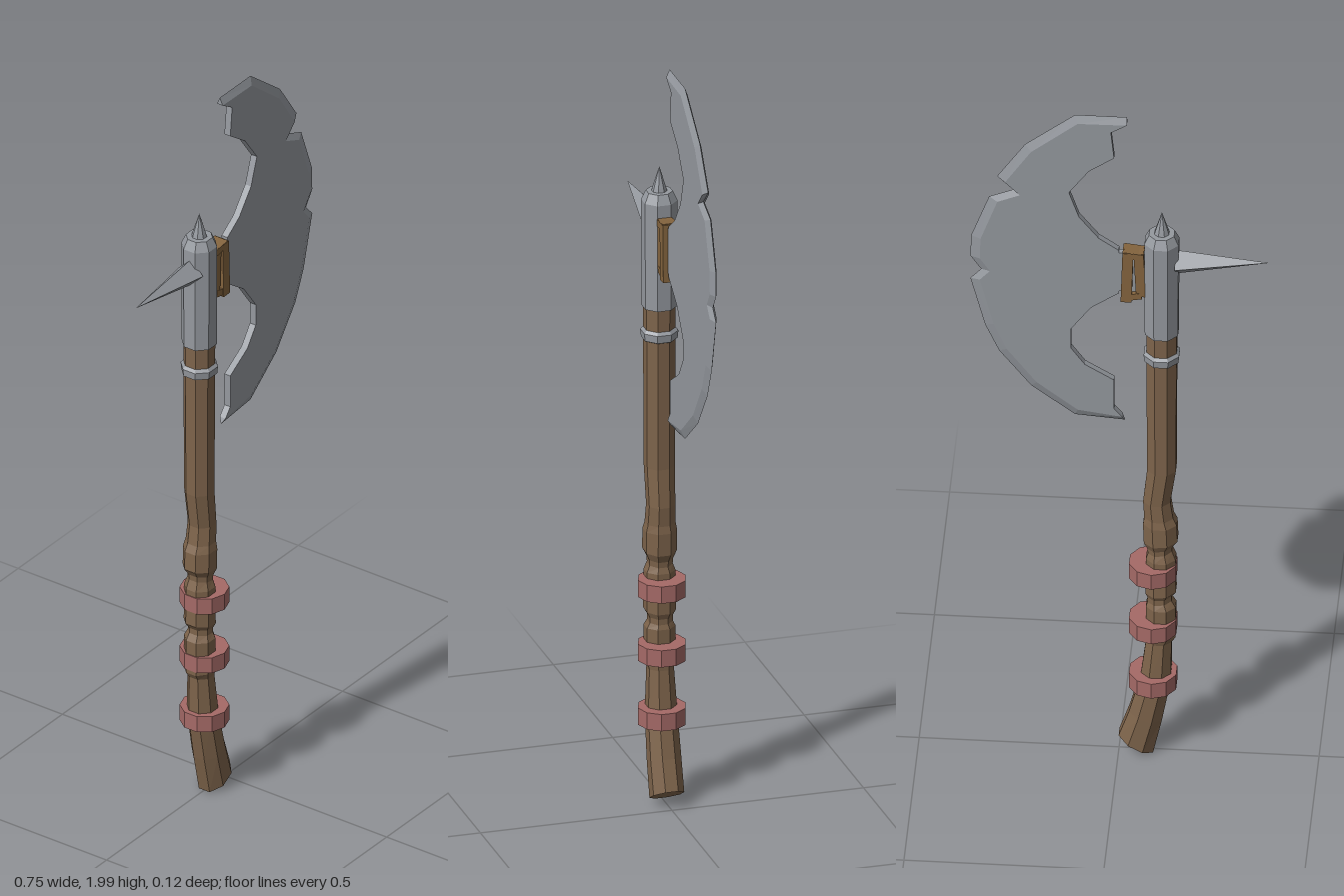
import * as THREE from 'three';

const mat = (name, color) => new THREE.MeshStandardMaterial({ name, color, flatShading: true });

export function createModel() {
  const axe = new THREE.Group();
  axe.name = 'battleAxe';
  const steel = mat('steel', 0x95999f);
  const wood = mat('wood', 0x7e644b);
  const leather = mat('leather', 0x85653f);
  const red = mat('redBand', 0xa56a67);

  const add = (name, geometry, material, x = 0, y = 0, z = 0) => {
    const mesh = new THREE.Mesh(geometry, material);
    mesh.name = name;
    mesh.position.set(x, y, z);
    axe.add(mesh);
    return mesh;
  };
  const facets = (positions, index) => {
    let g = new THREE.BufferGeometry();
    g.setAttribute('position', new THREE.Float32BufferAttribute(positions, 3));
    if (index) g = (g.setIndex(index), g.toNonIndexed());
    g.computeVertexNormals();
    return g;
  };

  // Crooked eight-sided handle: centre x, centre y, radius, slope of the ring
  const rings = [
    [-0.043, 0.035, 0.043, 0.57], [-0.067, 0.125, 0.041, 0.3], [-0.092, 0.24, 0.038, 0.1],
    [-0.1, 0.36, 0.032, 0], [-0.105, 0.38, 0.037, 0.1], [-0.105, 0.47, 0.037, 0],
    [-0.102, 0.485, 0.03, -0.1], [-0.102, 0.5, 0.03, -0.1], [-0.105, 0.515, 0.038, -0.1],
    [-0.105, 0.62, 0.037, 0], [-0.103, 0.64, 0.03, -0.15], [-0.103, 0.655, 0.031, -0.15],
    [-0.105, 0.675, 0.042, -0.1], [-0.103, 0.73, 0.042, 0], [-0.1, 0.75, 0.036, 0],
    [-0.095, 0.8, 0.034, 0], [-0.107, 0.9, 0.036, 0], [-0.107, 1.35, 0.038, 0],
  ];
  const N = 8, pos = [], idx = [];
  rings.forEach(([cx, cy, r, slope], k) => {
    for (let i = 0; i < N; i++) {
      const a = ((i + 0.5) / N) * Math.PI * 2;
      const dx = (r * Math.cos(a)) / Math.cos(Math.PI / N);
      pos.push(cx + dx, cy + dx * slope, Math.min(r, 0.04) * Math.sin(a) / Math.cos(Math.PI / N));
      if (k < rings.length - 1) {
        const b = k * N + i, n = k * N + ((i + 1) % N);
        idx.push(b, b + N, n, n, b + N, n + N);
      }
    }
  });
  // Splintered hollow at the butt
  pos.push(-0.05, 0.055, 0);
  for (let i = 0; i < N; i++) idx.push(rings.length * N, i, (i + 1) % N);
  add('handle', facets(pos, idx), wood);

  // Red grip bands
  for (const y of [0.582, 0.41, 0.238]) {
    add('gripBand', new THREE.CylinderGeometry(0.062, 0.062, 0.045, 10), red, -0.085, y);
  }

  // Faceted steel solids of revolution around the handle
  const lathe = (profile) => new THREE.LatheGeometry(
    profile.map(([r, y]) => new THREE.Vector2(r, y)), 8, Math.PI / 8);
  add('socket', lathe([[0, 1.33], [0.045, 1.33], [0.046, 1.615], [0.034, 1.64], [0, 1.64]]), steel, -0.107);
  add('collar', lathe([[0.036, 1.24], [0.046, 1.245], [0.048, 1.265], [0.036, 1.278]]), steel, -0.107);
  add('topSpike', lathe([[0.021, 1.635], [0.017, 1.65], [0, 1.705]]), steel, -0.107);

  // Four-sided rear spike
  const spike = add('rearSpike', new THREE.ConeGeometry(0.037, 0.235, 4), steel, -0.259, 1.556);
  spike.rotation.z = Math.PI / 2 - 0.04;

  // Blade: cutting edge from the upper tip down, then the inner outline back up
  const edge = [
    [-0.02, 2], [0.11, 2], [0.235, 1.9], [0.305, 1.795], [0.265, 1.755], [0.325, 1.73],
    [0.37, 1.605], [0.372, 1.54], [0.345, 1.5], [0.372, 1.47], [0.335, 1.325], [0.3, 1.245],
    [0.22, 1.14], [0.11, 1.055], [-0.015, 1.045],
  ];
  const inner = [
    [0.012, 1.085], [0.012, 1.175], [0.085, 1.22], [0.12, 1.27], [0.12, 1.33], [0.07, 1.4],
    [0, 1.45], [0, 1.585], [0.05, 1.62], [0.1, 1.685], [0.125, 1.76], [0.075, 1.83],
    [0.012, 1.875], [0.02, 1.955],
  ];
  const T = 0.009, inset = edge.map(([x, y]) => [x * 0.935, 1.52 + (y - 1.52) * 0.955]);
  inset[0] = [-0.02, 1.98];
  inset[inset.length - 1] = [-0.008, 1.06];
  const outline = new THREE.Shape([...inset, ...inner].map(([x, y]) => new THREE.Vector2(x, y)));
  const plate = new THREE.ExtrudeGeometry(outline, { depth: 2 * T, bevelEnabled: false });
  add('blade', plate, steel, 0, 0, -T);

  // Sharpened bevel along the cutting edge
  const bevel = [];
  const F = (i) => [...inset[i], T], B = (i) => [...inset[i], -T], E = (i) => [...edge[i], 0];
  const last = edge.length - 1;
  const tri = (...corners) => corners.forEach((c) => bevel.push(...c));
  for (let i = 0; i < last; i++) {
    tri(F(i), F(i + 1), E(i));
    tri(E(i), F(i + 1), E(i + 1));
    tri(B(i), E(i), B(i + 1));
    tri(E(i), E(i + 1), B(i + 1));
  }
  tri(F(0), E(0), B(0));
  tri(F(last), B(last), E(last));
  add('cuttingEdge', facets(bevel), steel);

  // Tang and the leather straps that bind the blade to the socket
  add('tang', new THREE.BoxGeometry(0.09, 0.12, 0.016), steel, -0.035, 1.517);
  const strap = (x, y, w, h, d, tilt) => {
    add('strap', new THREE.BoxGeometry(w, h, d), leather, x, y).rotation.z = tilt;
  };
  strap(-0.053, 1.515, 0.025, 0.135, 0.036, -0.05);
  strap(-0.021, 1.508, 0.027, 0.153, 0.042, 0.03);
  strap(-0.037, 1.575, 0.05, 0.018, 0.04, 0.12);
  strap(-0.037, 1.447, 0.04, 0.018, 0.038, -0.2);

  return axe;
}
